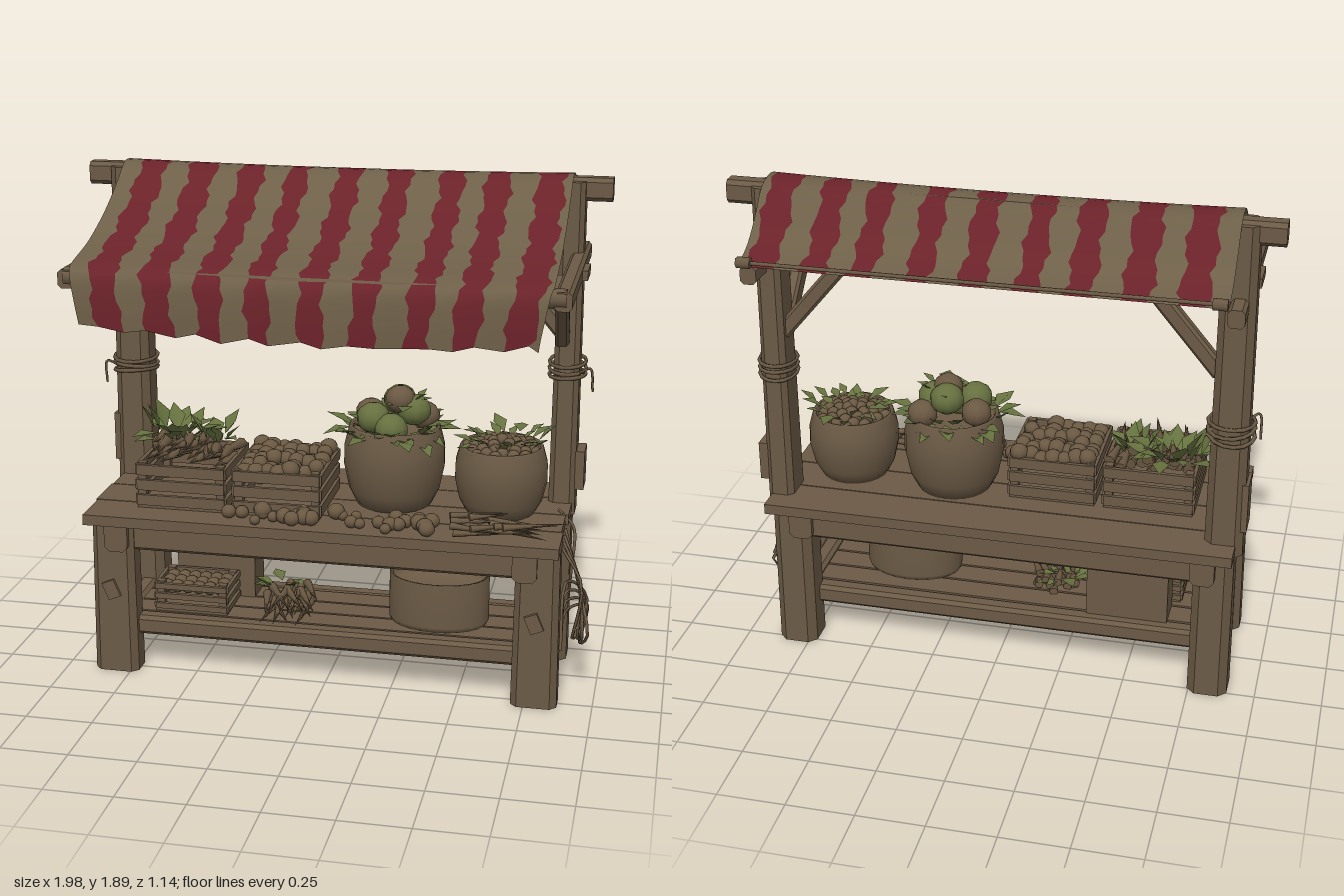
import * as THREE from 'three';
import { mergeGeometries } from 'three/addons/utils/BufferGeometryUtils.js';

const mat = (name, color, side = THREE.FrontSide) => {
  const m = new THREE.MeshStandardMaterial({ color, side });
  m.name = name;
  return m;
};
const V = (x, y, z) => new THREE.Vector3(x, y, z);

export function createModel() {
  const root = new THREE.Group();
  root.name = 'marketStall';
  const wood = mat('weatheredWood', 0x6b5a45);
  const produce = mat('earthyProduce', 0x6a5842);
  const cream = mat('creamCloth', 0x6d5f48, THREE.DoubleSide);
  const red = mat('redCloth', 0x6a2229, THREE.DoubleSide);
  const green = mat('cabbageGreen', 0x66703f);
  const leafGreen = mat('leafGreen', 0x66723f, THREE.DoubleSide);
  let seed = 7;
  const rnd = (a = 0, b = 1) => {
    seed = (seed * 16807) % 2147483647;
    return a + (b - a) * (seed / 2147483647);
  };
  const add = (name, geo, material, parent = root) => {
    const m = new THREE.Mesh(geo, material);
    m.name = name;
    parent.add(m);
    return m;
  };

  // Chamfered timber from a to b; w is across, d is up (or depth for posts)
  const beam = (name, a, b, w, d, taper = 1, parent = root) => {
    const len = a.distanceTo(b), c = Math.min(w, d) * 0.2, x = w / 2, y = d / 2;
    const s = new THREE.Shape([[-x + c, -y], [x - c, -y], [x, -y + c], [x, y - c], [x - c, y], [-x + c, y],
      [-x, y - c], [-x, -y + c]].map(p => new THREE.Vector2(...p)));
    const g = new THREE.ExtrudeGeometry(s, { depth: len, bevelEnabled: false });
    const p = g.attributes.position;
    for (let i = 0; i < p.count; i++) {
      const k = 1 + (taper - 1) * p.getZ(i) / len;
      p.setXY(i, p.getX(i) * k, p.getY(i) * k);
    }
    g.computeVertexNormals();
    const m = add(name, g, wood, parent);
    m.position.copy(a);
    m.lookAt(b);
    return m;
  };
  const box = (name, x0, x1, y0, y1, z0, z1, parent = root) => {
    const m = add(name, new THREE.BoxGeometry(x1 - x0, y1 - y0, z1 - z0), wood, parent);
    m.position.set((x0 + x1) / 2, (y0 + y1) / 2, (z0 + z1) / 2);
    return m;
  };
  const tube = (name, pts, r, material = wood) =>
    add(name, new THREE.TubeGeometry(new THREE.CatmullRomCurve3(pts), 24, r, 5), material);

  // Frame: posts, legs, arms and braces on both sides
  for (const s of [-1, 1]) {
    const px = s < 0 ? -0.85 : 0.83, w = s < 0 ? 0.14 : 0.1;
    beam('backPost', V(px, 0.6, -0.195), V(px, 1.86, -0.195), w, 0.145, 0.88);
    const lx = s < 0 ? -0.805 : 0.787;
    beam('postBase', V(s < 0 ? -0.82 : 0.795, 0, -0.2), V(s < 0 ? -0.83 : 0.8, 0.63, -0.2).setX(s < 0 ? -0.82 : 0.795), 0.15, 0.155, 0.97);
    beam('frontLeg', V(lx, 0, 0.25), V(lx, 0.61, 0.25), 0.17, 0.12, 0.93);
    beam('awningArm', V(s * 0.86, 1.572, -0.365), V(s * 0.86, 1.572, 0.52), 0.06, 0.066);
    beam('armBrace', V(s * 0.81, 1.27, -0.17), V(s * 0.83, 1.56, 0.2), 0.05, 0.075);
    beam('ridgeBrace', V(s * 0.8, 1.3, -0.2), V(s * 0.38, 1.8, -0.2), 0.05, 0.06);
    beam('tableBearer', V(s < 0 ? -0.785 : 0.742, 0.548, -0.31), V(s < 0 ? -0.785 : 0.742, 0.548, 0.32), 0.09, 0.115);
    beam('shelfEndRail', V(lx, 0.175, -0.18), V(lx, 0.175, 0.25), 0.07, 0.07);
    box('peg', s * 0.91 - 0.025, s * 0.91 + 0.025, 1.555, 1.59, -0.03, 0.1).position.x = s * 0.885;
    box('postKnot', px + s * 0.05 - 0.03, px + s * 0.05 + 0.03, 0.7, 0.87 - s * 0.02, -0.25, -0.14);
    box('legWedge', lx - 0.03, lx + 0.02, 0.3, 0.37, 0.3, 0.32).rotation.z = 0.4;
    // Rope lashings
    const ry = s < 0 ? 1.09 : 1.16;
    for (let i = 0; i < 3; i++) {
      const t = add('postLashing', new THREE.TorusGeometry(0.088, 0.008, 5, 14), wood);
      t.position.set(px, ry + (i - 1) * 0.025, -0.195);
      t.rotation.set(Math.PI / 2 + rnd(-0.12, 0.12), rnd(-0.1, 0.1), 0);
      t.scale.set(s < 0 ? 0.95 : 0.78, 1.02, 1);
    }
    tube('lashingEnd', [V(px + s * 0.05, ry, -0.13), V(px + s * 0.09, ry + 0.02, -0.11), V(px + s * 0.1, ry - 0.07, -0.13)], 0.005);
  }
  beam('ridgeBeam', V(-1, 1.83, -0.2), V(0.97, 1.83, -0.2), 0.075, 0.085);
  const pole = add('frontPole', new THREE.CylinderGeometry(0.034, 0.034, 1.74, 10), wood);
  pole.rotation.z = Math.PI / 2;
  pole.position.set(0, 1.578, 0.495);
  const rod = add('rearRod', new THREE.CylinderGeometry(0.007, 0.007, 1.64, 6), wood);
  rod.rotation.z = Math.PI / 2;
  rod.position.set(-0.015, 1.7, -0.553);
  for (const x of [-0.825, 0.795]) {
    const cap = add('rodCap', new THREE.CylinderGeometry(0.02, 0.02, 0.05, 6), wood);
    cap.rotation.z = Math.PI / 2;
    cap.position.set(x, 1.7, -0.553);
  }

  // Table and lower shelf
  for (const [z0, z1] of [[0.195, 0.37], [0.01, 0.19], [-0.175, 0.005], [-0.355, -0.18]])
    box('tablePlank', -0.905 + rnd(0, 0.015), 0.87 - rnd(0, 0.015), 0.608, 0.648, z0, z1);
  for (const z of [0.25, -0.26]) beam('tableApron', V(-0.78, 0.547, z), V(0.74, 0.547, z), 0.06, 0.12);
  for (const z of [0.23, -0.16]) beam('shelfRail', V(-0.78, 0.176, z), V(0.76, 0.176, z), 0.07, 0.075);
  for (const z of [-0.075, 0.035, 0.145]) box('shelfPlank', -0.76, 0.74, 0.185, 0.212, z - 0.05, z + 0.05);

  // Striped awning: strips between stripe edges, swept along one profile
  const profile = new THREE.CatmullRomCurve3([[1.675, -0.53], [1.71, -0.43], [1.79, -0.33], [1.87, -0.25], [1.885, -0.14],
    [1.83, -0.05], [1.745, 0.1], [1.665, 0.3], [1.62, 0.49], [1.6, 0.535], [1.51, 0.555], [1.425, 0.56]].map(([y, z]) => V(0, y, z)));
  const edges = [-0.85, -0.78, -0.68, -0.59, -0.49, -0.395, -0.305, -0.215, -0.135, -0.03, 0.06,
    0.16, 0.245, 0.355, 0.44, 0.52, 0.61, 0.705, 0.805, 0.83];
  const ROWS = 44, rowPts = profile.getSpacedPoints(ROWS);
  const clothPoint = (c, r) => {
    const p = rowPts[r], inner = c > 0 && c < edges.length - 1;
    const drop = Math.max(0, (r / ROWS - 0.84) / 0.16);
    let x = edges[c] + (inner ? 0.009 * Math.sin(r * 1.1 + c * 2.4) + 0.006 * Math.sin(r * 2.7 + c) : 0);
    x *= 1 - 0.05 * drop;
    const bow = 1 - (x / 0.85) ** 2;
    let y = p.y - 0.035 * bow * drop - 0.012 * bow * Math.sin(Math.PI * r / ROWS);
    if (r === ROWS) y += 0.012 * Math.sin(c * 2.9);
    return [x, y, p.z + 0.008 * drop * Math.sin(x * 17)];
  };
  const awning = new THREE.Group();
  awning.name = 'awning';
  root.add(awning);
  for (let c = 0; c < edges.length - 1; c++) {
    const pos = [], idx = [];
    for (let r = 0; r <= ROWS; r++) {
      pos.push(...clothPoint(c, r), ...clothPoint(c + 1, r));
      const a = r * 2;
      if (r < ROWS) idx.push(a, a + 2, a + 1, a + 1, a + 2, a + 3);
    }
    const g = new THREE.BufferGeometry();
    g.setAttribute('position', new THREE.Float32BufferAttribute(pos, 3));
    g.setIndex(idx);
    g.computeVertexNormals();
    add(c % 2 ? 'redStripe' : 'creamStripe', g, c % 2 ? red : cream, awning);
  }

  // Scattered produce, each heap merged into one mesh
  const heap = (name, material, n, make) =>
    add(name, mergeGeometries(Array.from({ length: n }, (_, i) => make(i))), material);
  const ball = (x, y, z, r) => new THREE.SphereGeometry(r, 10, 7).scale(1, 0.9, 1).translate(x, y, z);
  const root1 = (x, y, z, len, r, yaw, pitch) => // tapered root lying towards its yaw
    new THREE.ConeGeometry(r, len, 7).rotateX(Math.PI / 2 + pitch).rotateY(yaw).translate(x, y, z);
  const leaf = (x, y, z, len, yaw, tilt) => { // folded diamond leaf
    const w = len * 0.28, g = new THREE.BufferGeometry();
    g.setAttribute('position', new THREE.Float32BufferAttribute(
      [0, 0, 0, w, w * 0.4, len * 0.5, 0, 0, len, -w, w * 0.4, len * 0.5], 3));
    g.setIndex([0, 2, 1, 0, 3, 2]);
    g.computeVertexNormals();
    return g.rotateX(-tilt).rotateY(yaw).translate(x, y, z);
  };
  const leaves = (name, n, x, y, z, rx, rz, len, t0, t1) => heap(name, leafGreen, n, i => {
    const a = i * 2.4, k = rnd(0.4, 1);
    return leaf(x + Math.sin(a) * rx * k, y + rnd(-0.015, 0.015), z + Math.cos(a) * rz * k, len * rnd(0.7, 1.2), a + rnd(-0.5, 0.5), rnd(t0, t1));
  });

  // Slatted crates
  const crate = (x0, x1, y, h, z0, z1) => {
    const g = new THREE.Group();
    g.name = 'crate';
    root.add(g);
    box('crateFloor', x0, x1, y, y + 0.015, z0, z1, g);
    for (let i = 0; i < 3; i++) {
      const a = y + 0.012 + i * h / 3, b = a + h / 3 - 0.018;
      for (const z of [z0, z1]) box('crateSlat', x0, x1, a, b, z - 0.008, z + 0.008, g);
      for (const x of [x0, x1]) box('crateSide', x - 0.007, x + 0.007, a, b, z0, z1, g);
    }
    for (const x of [x0 + 0.018, x1 - 0.018]) for (const z of [z0 + 0.018, z1 - 0.018])
      box('crateCorner', x - 0.015, x + 0.015, y, y + h, z - 0.015, z + 0.015, g);
  };
  crate(-0.715, -0.38, 0.65, 0.175, -0.09, 0.25);
  crate(-0.345, -0.02, 0.65, 0.175, -0.09, 0.25);
  heap('crateRoots', produce, 34, i => root1(-0.69 + (i % 9) * 0.035, 0.8 + Math.floor(i / 9) * 0.018 + rnd(0, 0.02),
    rnd(0.02, 0.15), rnd(0.17, 0.23), 0.022, rnd(-0.25, 0.25), -0.1));
  leaves('rootTops', 26, -0.63, 0.86, -0.03, 0.1, 0.07, 0.11, 0, 1.2);
  leaves('rootTopsRight', 10, -0.47, 0.86, 0, 0.07, 0.07, 0.1, 0, 1.2);
  heap('crateFruit', produce, 40, i => ball(-0.31 + (i % 7) * 0.043, 0.8 + rnd(0, 0.035),
    -0.055 + Math.floor(i / 7) * 0.053 + rnd(-0.01, 0.01), rnd(0.03, 0.038)));

  // Round baskets
  const basket = (x, z, y, h, r, prof) => {
    const m = add('basket', new THREE.LatheGeometry(prof.map(([a, b]) => new THREE.Vector2(a * r, b * h)), 24), wood);
    m.position.set(x, y, z);
  };
  const belly = [[0, 0], [0.74, 0], [0.9, 0.2], [1, 0.5], [0.99, 0.75], [0.9, 0.97], [0.87, 1], [0.82, 0.97], [0.8, 0.86], [0, 0.86]];
  basket(0.21, -0.02, 0.648, 0.31, 0.19, belly);
  basket(0.615, 0.0, 0.648, 0.26, 0.172, belly);
  heap('cabbages', green, 4, i => ball([0.14, 0.28, 0.21, 0.22][i], [0.99, 1.01, 0.96, 1.03][i], [0.04, -0.03, 0.07, -0.08][i], 0.065));
  heap('turnips', produce, 3, i => ball([0.11, 0.23, 0.31][i], [0.98, 1.05, 0.97][i], [-0.07, -0.02, -0.1][i], 0.058));
  leaves('basketLeaves', 44, 0.21, 0.935, -0.01, 0.16, 0.15, 0.11, -0.5, 0.7);
  leaves('crownLeaves', 7, 0.26, 1.04, -0.02, 0.06, 0.05, 0.09, 0, 0.8);
  heap('basketNuts', produce, 40, i => {
    const a = i * 2.4, k = 0.135 * Math.sqrt(i / 40);
    return ball(0.615 + Math.sin(a) * k, 0.925 - k * 0.25, Math.cos(a) * k, 0.024);
  });
  leaves('basketSprigs', 22, 0.63, 0.915, -0.02, 0.14, 0.13, 0.085, 0, 0.8);

  // Loose produce on the table front
  heap('looseFruit', produce, 36, i => {
    const r = rnd(0.02, 0.036);
    return ball(i < 18 ? rnd(-0.36, -0.02) : rnd(0.03, 0.4), 0.646 + r * 0.9, rnd(0.21, 0.34), r);
  });
  heap('looseRoots', produce, 16, i => root1(rnd(0.56, 0.78), 0.662 + (i % 4) * 0.014, rnd(0.2, 0.32), rnd(0.14, 0.24), 0.014, 1.57 + rnd(-0.5, 0.5), 0));

  // Goods stored on the shelf
  box('storageBox', -0.645, -0.335, 0.212, 0.44, -0.15, -0.01);
  crate(-0.675, -0.395, 0.212, 0.12, 0.01, 0.19);
  heap('shelfFruit', produce, 18, i => ball(-0.645 + (i % 6) * 0.043, 0.3, 0.045 + Math.floor(i / 6) * 0.05, 0.028));
  const tub = add('storageTub', new THREE.LatheGeometry([[0, 0], [0.95, 0], [1, 0.1], [1, 1], [0.93, 1], [0.92, 0.75], [0, 0.75]]
    .map(([a, b]) => new THREE.Vector2(a * 0.19, b * 0.19)), 24), wood);
  tub.position.set(0.4, 0.212, 0.06);
  tub.scale.z = 0.7;
  heap('shelfRoots', produce, 22, i => root1(rnd(-0.26, -0.08), 0.222 + (i % 5) * 0.016, rnd(0.06, 0.16), rnd(0.18, 0.26), 0.017, rnd(-0.1, 0.7), 0));
  leaves('shelfRootTops', 12, -0.22, 0.27, 0.0, 0.07, 0.04, 0.08, 0, 0.8);

  // Ropes hanging at the side
  for (let i = 0; i < 4; i++) {
    const o = i * 0.02;
    tube('hangingRope', [V(0.86, 0.6 - o, 0.02 + o), V(0.91 + o / 2, 0.45, 0.08 + o * 2), V(0.97 - o, 0.28 - o, 0.22 - o),
      V(0.93, 0.17 + o, 0.05), V(0.95, 0.24 + o, -0.09 + o), V(0.88, 0.34 + o * 2, 0.22), V(0.88, 0.24, 0.31)], 0.006);
  }
  tube('tableRope', [V(0.83, 0.66, -0.02), V(0.89, 0.6, 0.0), V(0.89, 0.45, 0.04), V(0.88, 0.33, -0.02)], 0.006);
  return root;
}
